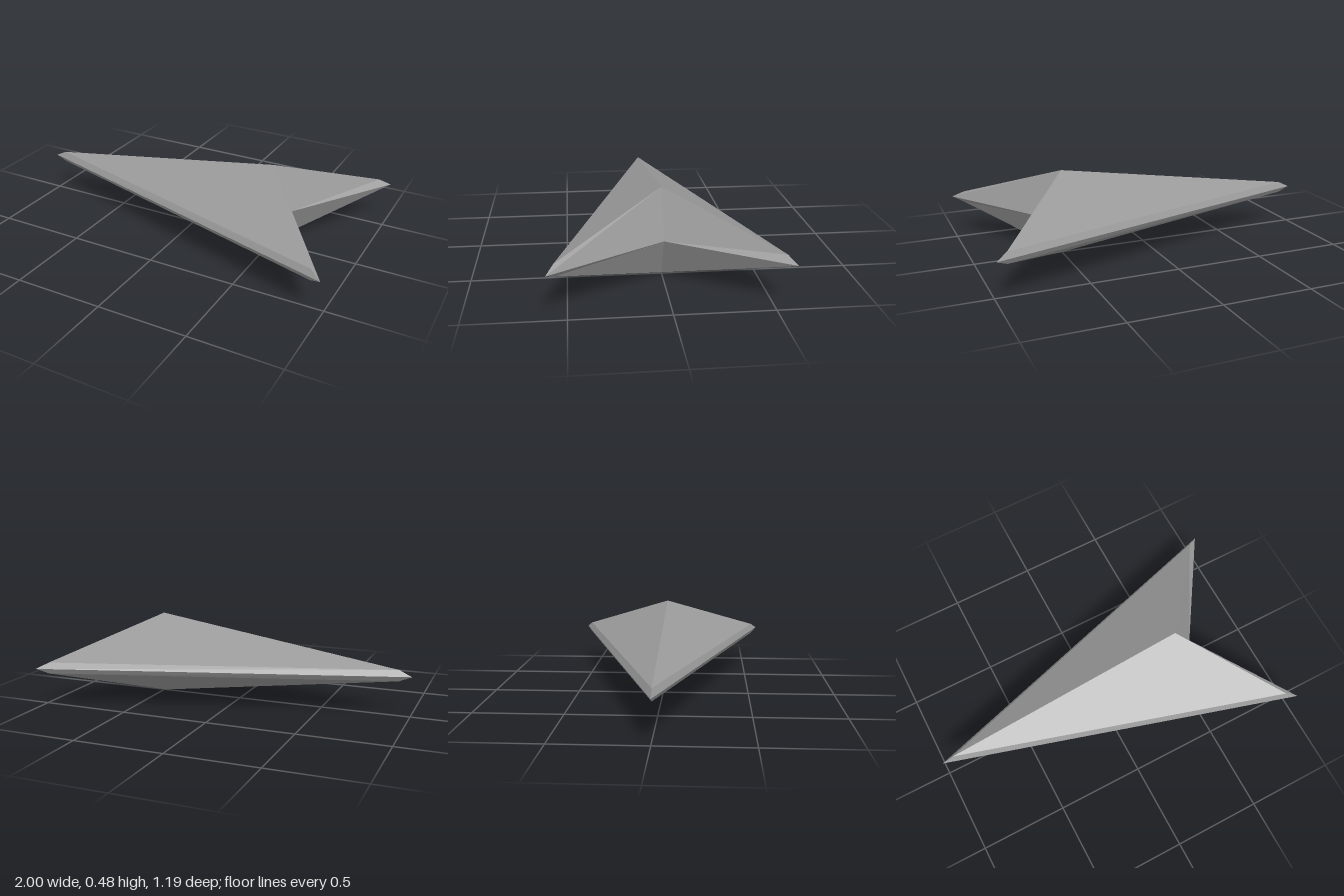
import * as THREE from 'three';

const RIM_Y = 0.225;

// Points of one upper quarter (z >= 0), heights measured from the rim
const nose = [-1, 0, 0], tip = [1, 0, 0.595], notch = [0.615, 0, 0];
const noseTop = [-0.93, 0.034, 0], tipTop = [0.937, 0.034, 0.558], peak = [0.49, 0.255, 0];

// Faceted surface from a polygon, mirrored front to back; height < 0 flips it below the rim
function mirroredFacet(corners, height, material, name) {
  const positions = [];
  for (const side of [1, -1]) {
    const points = corners.map(([x, y, z]) => [x, RIM_Y + y * height, z * side]);
    if (side * height < 0) points.reverse();
    for (let i = 1; i < points.length - 1; i++) {
      positions.push(...points[0], ...points[i], ...points[i + 1]);
    }
  }
  const geometry = new THREE.BufferGeometry();
  geometry.setAttribute('position', new THREE.Float32BufferAttribute(positions, 3));
  geometry.computeVertexNormals();
  const mesh = new THREE.Mesh(geometry, material);
  mesh.name = name;
  return mesh;
}

export function createModel() {
  const model = new THREE.Group();
  model.name = 'arrowhead';
  const grey = new THREE.MeshStandardMaterial({ color: 0x999999, flatShading: true });
  grey.name = 'grey';

  // Tall upper half and slightly shallower lower half
  for (const [half, height] of [['upper', 1], ['lower', -RIM_Y / peak[1]]]) {
    const group = new THREE.Group();
    group.name = half + 'Half';
    group.add(
      mirroredFacet([noseTop, tipTop, peak], height, grey, half + 'Blades'),
      mirroredFacet([nose, tip, tipTop, noseTop], height, grey, half + 'EdgeBevels'),
      mirroredFacet([peak, tipTop, tip, notch], height, grey, half + 'TailFaces')
    );
    model.add(group);
  }
  return model;
}
